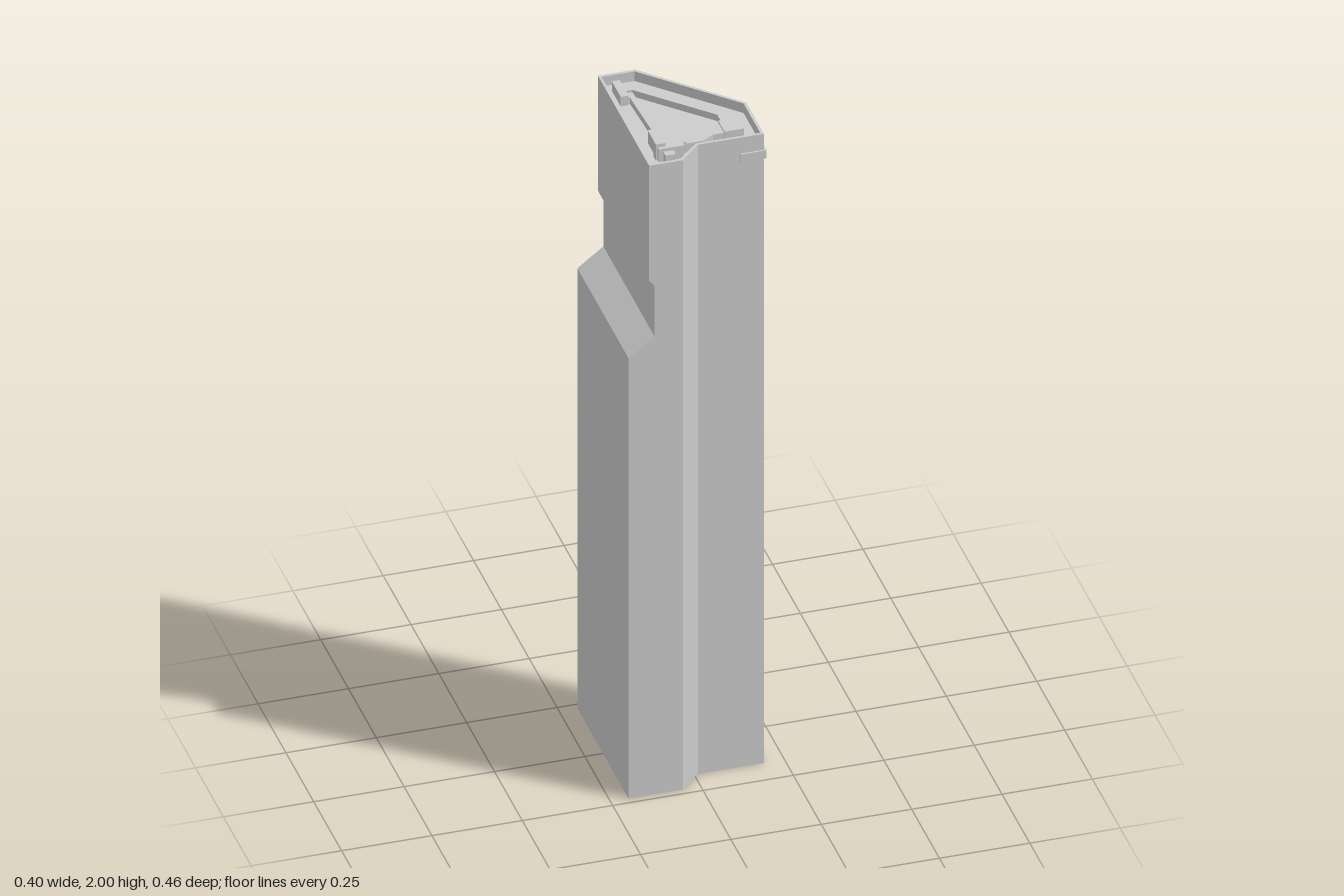
import * as THREE from 'three';

const ROOF = 1.95; // recessed roof deck height

export function createModel() {
  const model = new THREE.Group();
  const material = new THREE.MeshStandardMaterial({ color: 0xcccccc, flatShading: true });

  function add(name, geometry) {
    const mesh = new THREE.Mesh(geometry, material);
    mesh.name = name;
    model.add(mesh);
    return mesh;
  }

  // Upright prism from a plan outline of [x, z] points
  function prism(name, plan, y0, y1) {
    const shape = new THREE.Shape(plan.map(([x, z]) => new THREE.Vector2(x, -z)));
    const geometry = new THREE.ExtrudeGeometry(shape, { depth: y1 - y0, bevelEnabled: false });
    geometry.rotateX(-Math.PI / 2).translate(0, y0, 0);
    return add(name, geometry);
  }

  function block(name, x0, x1, y0, y1, z0, z1) {
    const geometry = new THREE.BoxGeometry(x1 - x0, y1 - y0, z1 - z0);
    geometry.translate((x0 + x1) / 2, (y0 + y1) / 2, (z0 + z1) / 2);
    return add(name, geometry);
  }

  // Tower body: seven-sided plan whose flat -x side steps in with height
  const outer = (left) => [[left, -0.23], [-0.04, -0.23], [0.193, 0.01], [0.193, 0.17],
    [0.01, 0.17], [-0.05, 0.23], [left, 0.23]];
  const inner = [[-0.136, -0.221], [-0.044, -0.221], [0.185, 0.013], [0.185, 0.162],
    [0.007, 0.162], [-0.054, 0.222], [-0.136, 0.222]];
  const rings = [[0, -0.2], [1.385, -0.2], [1.44, -0.128], [1.6, -0.128], [1.618, -0.143], [1.98, -0.143]]
    .map(([y, left]) => outer(left).map(([x, z]) => [x, y, z]));
  // Rim and recessed roof deck
  for (const y of [1.98, ROOF]) rings.push(inner.map(([x, z]) => [x, y, z]));

  const positions = [];
  const tri = (...corners) => corners.forEach((c) => positions.push(...c));
  for (let r = 0; r < rings.length - 1; r++) {
    for (let i = 0; i < 7; i++) {
      const j = (i + 1) % 7;
      const low = rings[r], high = rings[r + 1];
      tri(low[i], high[i], high[j]);
      tri(low[i], high[j], low[j]);
    }
  }
  // Caps fan out from the concave corner
  const bottom = rings[0], deck = rings[rings.length - 1];
  for (let k = 1; k < 6; k++) {
    const i = (4 + k) % 7, j = (5 + k) % 7;
    tri(bottom[4], bottom[i], bottom[j]);
    tri(deck[4], deck[j], deck[i]);
  }
  const body = new THREE.BufferGeometry();
  body.setAttribute('position', new THREE.Float32BufferAttribute(positions, 3));
  body.computeVertexNormals();
  add('towerBody', body);

  // Raised panels on the diagonal face
  const start = new THREE.Vector2(-0.04, -0.23);
  const along = new THREE.Vector2(0.193, 0.01).sub(start).normalize();
  const onDiagonal = (s, n) => [start.x + along.x * s + along.y * n, start.y + along.y * s - along.x * n];
  const panelPlan = [onDiagonal(0.02, -0.003), onDiagonal(0.313, -0.003),
    onDiagonal(0.313, 0.009), onDiagonal(0.02, 0.009)];
  prism('lowerPanel', panelPlan, 0.385, 1.1);
  prism('middlePanel', panelPlan, 1.15, 1.2);
  prism('upperPanel', panelPlan, 1.24, 1.96);

  // Trim strip wrapping the front corner
  prism('cornerTrim', [[0.19, 0.033], [0.199, 0.033], [0.199, 0.175], [0.128, 0.175],
    [0.128, 0.167], [0.19, 0.167]], 1.905, 1.93);

  // Rooftop machinery
  block('mainUnit', -0.1, -0.028, ROOF, 1.99, 0.078, 0.176);
  block('mainUnitCap', -0.105, -0.078, ROOF, 2.0, 0.145, 0.166);
  block('mainUnitPort', -0.087, -0.059, ROOF, 1.98, 0.176, 0.196);
  block('ductCollar', -0.028, -0.016, ROOF, 1.985, 0.095, 0.154);
  block('cornerUnit', 0.096, 0.15, ROOF, 1.98, 0.073, 0.13);
  block('backUnit', -0.116, -0.094, ROOF, 1.98, -0.193, -0.113);

  // Flat ducts linking the units
  prism('frontDuct', [[-0.016, 0.1], [0.029, 0.1], [0.065, 0.078], [0.096, 0.078],
    [0.096, 0.127], [0.065, 0.127], [0.029, 0.148], [-0.016, 0.148]], ROOF, 1.975);
  prism('diagonalDuct', [[-0.094, -0.184], [-0.072, -0.184], [0.14, 0.03], [0.14, 0.073],
    [0.107, 0.073], [0.107, 0.03], [-0.073, -0.152], [-0.094, -0.152]], ROOF, 1.97);
  prism('sideDuct', [[-0.094, -0.141], [-0.075, -0.141], [-0.063, 0.078], [-0.08, 0.078],
    [-0.089, -0.118], [-0.094, -0.118]], ROOF, 1.97);

  return model;
}
